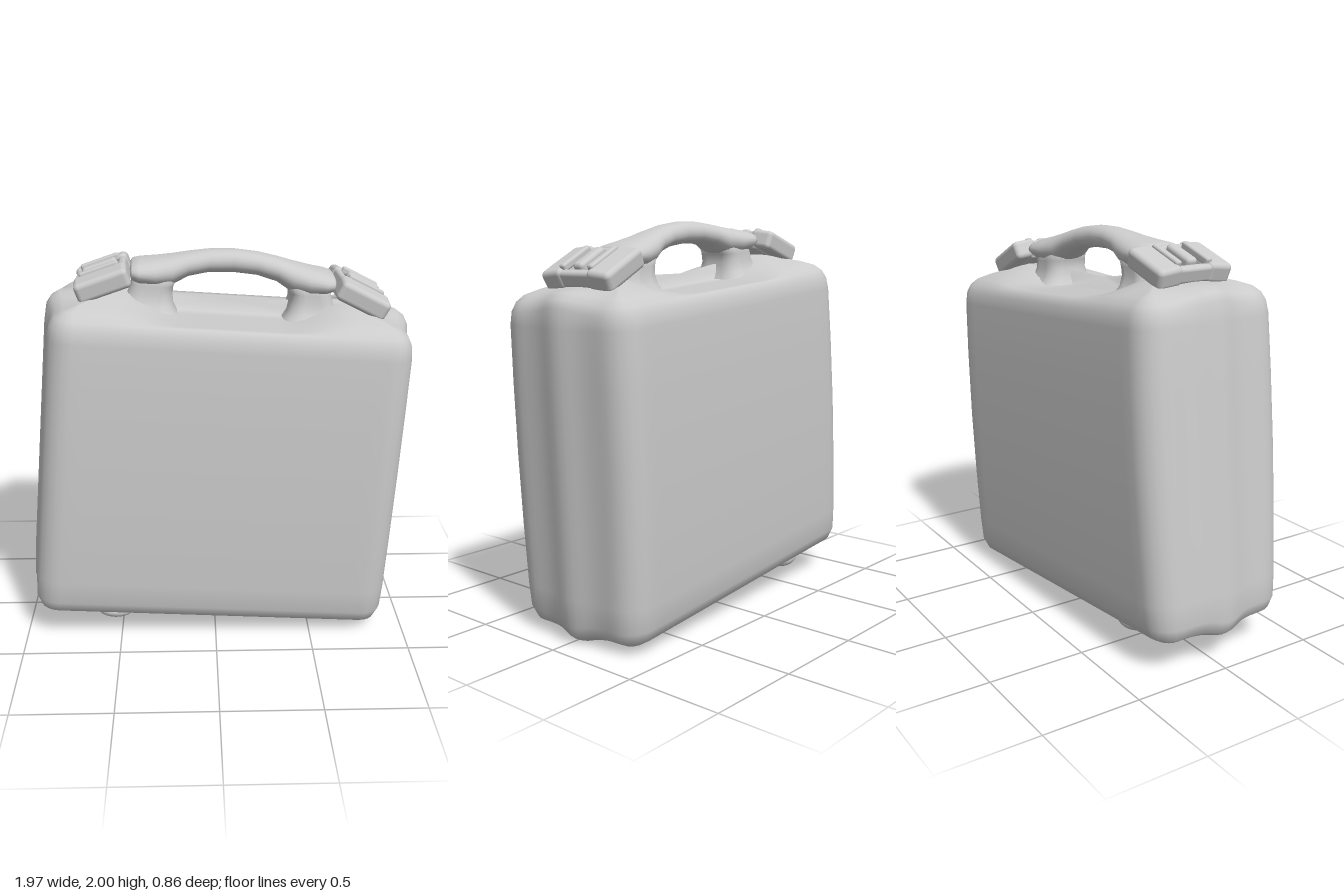
import * as THREE from 'three';
import { RoundedBoxGeometry } from 'three/addons/geometries/RoundedBoxGeometry.js';

const MID = -0.05; // centre line of the case along its width
const material = new THREE.MeshStandardMaterial({ color: 0xcccccc });

const bell = (t, w) => Math.exp(-((t / w) ** 2));

// Skin over a stack of closed loops (counter-clockwise about the stacking axis)
function loft(loops) {
  const n = loops[0].length, pos = [], index = [];
  loops.forEach(l => l.forEach(p => pos.push(p.x, p.y, p.z)));
  for (let i = 0; i < loops.length - 1; i++)
    for (let j = 0; j < n; j++) {
      const k = (j + 1) % n, a = i * n + j, b = i * n + k, c = b + n, d = a + n;
      index.push(a, b, c, a, c, d);
    }
  [loops[0], loops[loops.length - 1]].forEach((loop, end) => {
    const centre = loop.reduce((s, p) => s.add(p), new THREE.Vector3()).divideScalar(n);
    const c = pos.length / 3, base = end ? (loops.length - 1) * n : 0;
    pos.push(centre.x, centre.y, centre.z);
    for (let j = 0; j < n; j++) {
      const a = base + j, b = base + (j + 1) % n;
      if (end) index.push(c, a, b); else index.push(c, b, a);
    }
  });
  const g = new THREE.BufferGeometry();
  g.setAttribute('position', new THREE.Float32BufferAttribute(pos, 3));
  g.setIndex(index);
  g.computeVertexNormals();
  return g;
}

// Rounded rectangle in plan, with evenly divided sides
function roundedRect(hx, hz, r) {
  const corners = [[1, -1], [-1, -1], [-1, 1], [1, 1]], pts = [];
  corners.forEach(([sx, sz], q) => {
    const arc = [];
    for (let k = 0; k <= 5; k++) {
      const t = (q + k / 5) * Math.PI / 2;
      arc.push([sx * (hx - r) + r * Math.cos(t), sz * (hz - r) - r * Math.sin(t)]);
    }
    pts.push(...arc);
    const last = arc[5], [nx, nz] = corners[(q + 1) % 4];
    const t = (q + 1) * Math.PI / 2;
    const next = [nx * (hx - r) + r * Math.cos(t), nz * (hz - r) - r * Math.sin(t)];
    const m = q % 2 ? 14 : 24;
    for (let k = 1; k < m; k++)
      pts.push([last[0] + (next[0] - last[0]) * k / m, last[1] + (next[1] - last[1]) * k / m]);
  });
  return pts;
}

// Case shell: [height, inset] rings, with a seam ridge round the ends, keel and roof
function bodyGeometry() {
  const rings = [[0.085, 0.36], [0.085, 0.25], [0.085, 0.13], [0.095, 0.07], [0.12, 0.03], [0.18, 0.004],
    [0.3, 0], [0.6, 0], [0.95, 0], [1.3, 0], [1.58, 0], [1.64, 0.008], [1.68, 0.03],
    [1.71, 0.07], [1.735, 0.14], [1.76, 0.22], [1.785, 0.3], [1.795, 0.375]];
  return loft(rings.map(([v, d]) => {
    const up = Math.min(1, v / 1.66);
    const hx = 0.925 - 0.04 * up - d;
    const hz = 0.365 + 0.038 * Math.sin(Math.PI * (0.08 + 0.68 * up)) - d;
    return roundedRect(hx, hz, Math.max(0.13 - d, 0.008)).map(([x, z]) => {
      const end = THREE.MathUtils.smoothstep(Math.abs(x), hx - 0.12, hx);
      let y = v;
      if (v < 0.2) y -= 0.025 * bell(z, 0.08);
      if (v > 1.6) {
        y += 0.035 * bell(z, 0.15) * THREE.MathUtils.smoothstep(Math.abs(x), 0.68, 0.85);
        const dip = 1 - THREE.MathUtils.smoothstep(Math.abs(x), 0.25, 0.6);
        y += (Math.min(y, 1.68) - y) * dip;
      }
      return new THREE.Vector3(MID + x + Math.sign(x) * end * 0.033 * bell(z, 0.1), y, z);
    });
  }));
}

// Grip: [offset, underside, top, half depth], mirrored about the middle
function gripGeometry() {
  const half = [[0.505, 1.85, 1.9, 0.11], [0.495, 1.825, 1.915, 0.14], [0.46, 1.81, 1.925, 0.15],
    [0.38, 1.8, 1.938, 0.14], [0.295, 1.81, 1.955, 0.117], [0.22, 1.855, 1.972, 0.095], [0.12, 1.88, 1.99, 0.08]];
  const all = [...half.map(([x, ...r]) => [-x, ...r]), [0, 1.887, 1.998, 0.075], ...half.slice().reverse()];
  return loft(all.map(([x, lo, hi, hz]) => Array.from({ length: 24 }, (_, k) => {
    const t = k / 24 * Math.PI * 2, c = Math.cos(t), s = Math.sin(t);
    const z = Math.sign(s) * Math.abs(s) ** 0.8 * hz;
    return new THREE.Vector3(MID + x, (lo + hi) / 2 + c * (hi - lo) / 2, z);
  })));
}

// Post under each end of the grip: [height, inner edge, outer edge, half depth]
function postGeometry(side) {
  const rings = [[1.64, 0.24, 0.58, 0.2], [1.685, 0.265, 0.56, 0.16], [1.72, 0.285, 0.53, 0.13],
    [1.77, 0.292, 0.51, 0.115], [1.81, 0.29, 0.495, 0.115], [1.87, 0.26, 0.48, 0.11]];
  return loft(rings.map(([y, a, b, hz]) => roundedRect((b - a) / 2, hz, Math.min((b - a) / 2, hz) * 0.6)
    .map(([x, z]) => new THREE.Vector3(MID + side * (a + b) / 2 + x, y, z))));
}

function add(parent, name, geometry, x = 0, y = 0, z = 0) {
  const mesh = new THREE.Mesh(geometry, material);
  mesh.name = name;
  mesh.position.set(x, y, z);
  parent.add(mesh);
  return mesh;
}

// Buckle: two drooping cheeks, cross strips and a catch in the window
function latch(side) {
  const g = new THREE.Group();
  g.name = side > 0 ? 'leftLatch' : 'rightLatch';
  for (const s of [-1, 1]) {
    add(g, 'cheek', new RoundedBoxGeometry(0.27, 0.1, 0.135, 3, 0.025), 0, 0, s * 0.142).rotation.x = s * 0.12;
    add(g, 'windowLip', new RoundedBoxGeometry(0.2, 0.04, 0.035, 2, 0.012), 0, 0.05, s * 0.088);
  }
  add(g, 'latchBase', new RoundedBoxGeometry(0.25, 0.06, 0.24, 2, 0.015), 0, -0.025, 0);
  add(g, 'outerStrip', new RoundedBoxGeometry(0.05, 0.08, 0.2, 2, 0.018), 0.105, 0.005, 0);
  add(g, 'hingeStrip', new RoundedBoxGeometry(0.04, 0.08, 0.2, 2, 0.018), -0.11, 0.005, 0);
  add(g, 'catch', new RoundedBoxGeometry(0.18, 0.07, 0.06, 3, 0.02), 0, 0.035, 0);
  g.rotation.set(0, side > 0 ? 0 : Math.PI, -side * 0.4, 'ZYX');
  g.position.set(MID + side * 0.635, 1.825, 0);
  return g;
}

export function createModel() {
  const root = new THREE.Group();
  root.name = 'carryCase';
  const box = new THREE.Group();
  box.name = 'case';
  root.add(box);

  add(box, 'body', bodyGeometry());
  add(box, 'grip', gripGeometry());
  for (const side of [-1, 1]) {
    add(box, 'gripPost', postGeometry(side));
    box.add(latch(side));
    // Feet under one end
    const foot = add(box, 'foot', new THREE.SphereGeometry(1, 20, 12), -0.55, 0.085, side * 0.24);
    foot.scale.set(0.1, 0.045, 0.07);
  }

  // The case leans a little and is turned slightly
  box.rotation.set(0, 0.033, -0.075, 'YZX');
  return root;
}
